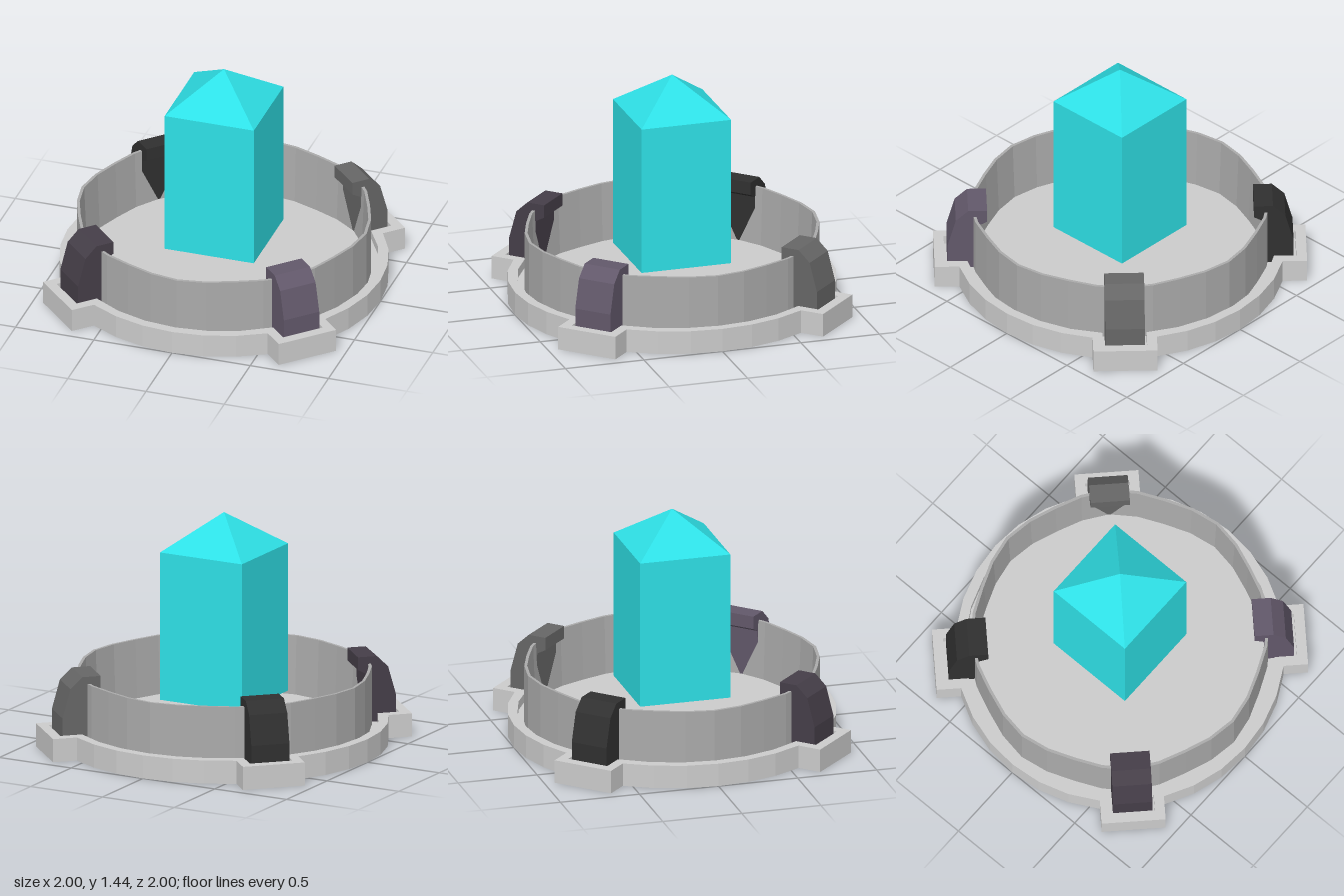
import * as THREE from 'three';

const material = (color) => new THREE.MeshStandardMaterial({ color, flatShading: true });

// Circle outline with four square tabs on the diagonals
function tabbedOutline(radius, tabRadius, halfWidth) {
  const points = [];
  const halfAngle = Math.asin(halfWidth / radius);
  for (let i = 0; i < 4; i++) {
    const a = Math.PI / 4 + (i * Math.PI) / 2;
    for (const side of [-halfWidth, halfWidth]) {
      points.push(new THREE.Vector2(tabRadius, side).rotateAround(new THREE.Vector2(), a));
    }
    for (let j = 0; j <= 6; j++) {
      const t = a + halfAngle + ((Math.PI / 2 - 2 * halfAngle) * j) / 6;
      points.push(new THREE.Vector2(Math.cos(t) * radius, Math.sin(t) * radius));
    }
  }
  return points;
}

// Extrude a plan outline upwards
function slab(name, shape, y, height) {
  const geometry = new THREE.ExtrudeGeometry(shape, { depth: height, bevelEnabled: false });
  geometry.rotateX(-Math.PI / 2).translate(0, y, 0);
  const mesh = new THREE.Mesh(geometry, material(0xcccccc));
  mesh.name = name;
  return mesh;
}

export function createModel() {
  const model = new THREE.Group();
  model.name = 'crystalPedestal';

  // Base plate with a raised rim around its sunken floor
  const outer = tabbedOutline(1, 1.13, 0.195);
  const inner = tabbedOutline(0.94, 1.067, 0.134);
  const rimShape = new THREE.Shape(outer);
  rimShape.holes.push(new THREE.Path(inner));
  model.add(slab('basePlate', new THREE.Shape(outer), 0, 0.09));
  model.add(slab('baseRim', rimShape, 0.09, 0.055));

  // Thin wall, gently scalloped in plan
  const wallProfile = [[0.9, 0.09], [0.9, 0.455], [0.882, 0.455], [0.867, 0.09]]
    .map(([r, y]) => new THREE.Vector2(r, y));
  const wallGeometry = new THREE.LatheGeometry(wallProfile, 32);
  const position = wallGeometry.attributes.position;
  for (let i = 0; i < position.count; i++) {
    const x = position.getX(i), z = position.getZ(i);
    const scale = 1 + 0.013 * Math.cos(8 * Math.atan2(z, x));
    position.setX(i, x * scale);
    position.setZ(i, z * scale);
  }
  const wall = new THREE.Mesh(wallGeometry, material(0xaaaaaa));
  wall.material.side = THREE.DoubleSide;
  wall.name = 'ringWall';
  model.add(wall);

  // Four clamps hooked over the wall
  const clampProfile = [[1.05, 0.09], [1.05, 0.25], [1.0, 0.43], [0.925, 0.5],
    [0.81, 0.5], [0.81, 0.42], [0.865, 0.39], [0.877, 0.09]];
  const clampShape = new THREE.Shape(clampProfile.map(([r, y]) => new THREE.Vector2(r, y)));
  const clampGeometry = new THREE.ExtrudeGeometry(clampShape, { depth: 0.24, bevelEnabled: false });
  clampGeometry.translate(0, 0, -0.12);
  const clamps = [
    ['backLeftClamp', 0x666666],
    ['backRightClamp', 0x303030],
    ['frontRightClamp', 0x453e48],
    ['frontLeftClamp', 0x62586a],
  ];
  clamps.forEach(([name, color], i) => {
    const clamp = new THREE.Mesh(clampGeometry, material(color));
    clamp.rotation.y = Math.PI / 4 + (i * Math.PI) / 2;
    clamp.name = name;
    model.add(clamp);
  });

  // Square crystal with a pyramid tip, floating above the floor
  const corner = 0.285 * Math.SQRT2;
  const crystalProfile = [[0, 0.29], [corner, 0.29], [corner, 1.215], [0, 1.44]]
    .map(([r, y]) => new THREE.Vector2(r, y));
  const crystal = new THREE.Mesh(
    new THREE.LatheGeometry(crystalProfile, 4, Math.PI / 4), material(0x2ee0e6));
  crystal.name = 'crystal';
  model.add(crystal);

  return model;
}
